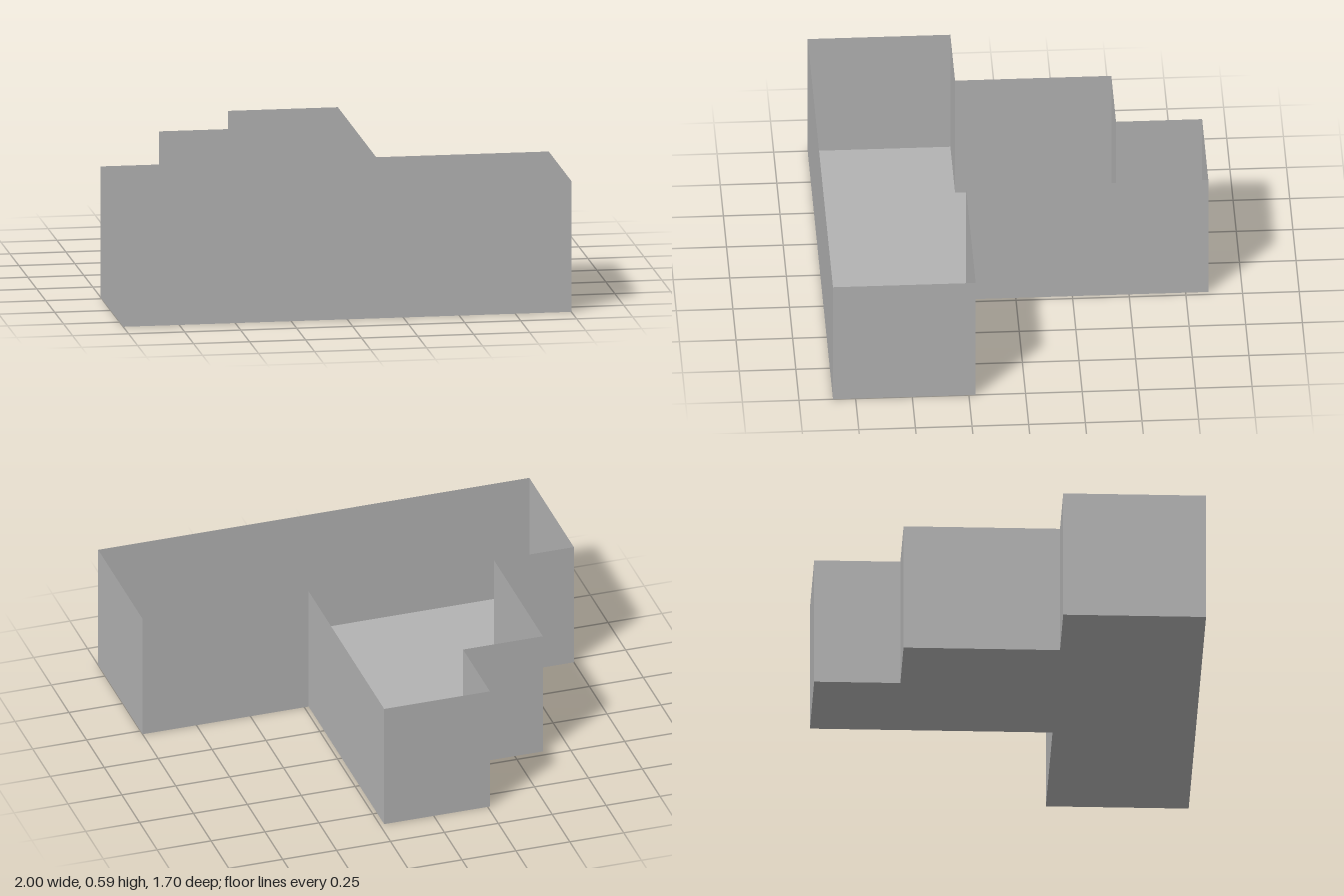
import * as THREE from 'three';

const HEIGHT = 0.59;

// Floor plan corners as [x, z]
const PLAN = [
  [-1, 0.85], [1, 0.85], [1, 0.22], [0.23, 0.22], [0.23, -0.85],
  [-0.26, -0.85], [-0.26, -0.47], [-0.63, -0.47], [-0.63, 0.22], [-1, 0.22],
];

export function createModel() {
  const model = new THREE.Group();
  model.name = 'openBuildingShell';
  const grey = new THREE.MeshStandardMaterial({ color: 0xb2b2b2, side: THREE.DoubleSide });
  grey.name = 'plain grey';

  // Flat floor following the plan
  const shape = new THREE.Shape(PLAN.map(([x, z]) => new THREE.Vector2(x, -z)));
  const floor = new THREE.Mesh(new THREE.ShapeGeometry(shape).rotateX(-Math.PI / 2), grey);
  floor.name = 'floor';
  model.add(floor);

  // One sheet wall along each edge of the plan, facing outwards, open at the top
  const walls = new THREE.Group();
  walls.name = 'walls';
  PLAN.forEach(([x0, z0], i) => {
    const [x1, z1] = PLAN[(i + 1) % PLAN.length];
    const length = Math.hypot(x1 - x0, z1 - z0);
    const wall = new THREE.Mesh(new THREE.PlaneGeometry(length, HEIGHT), grey);
    wall.name = `wall${i + 1}`;
    wall.position.set((x0 + x1) / 2, HEIGHT / 2, (z0 + z1) / 2);
    wall.rotation.y = Math.atan2(z0 - z1, x1 - x0);
    walls.add(wall);
  });
  model.add(walls);
  return model;
}
